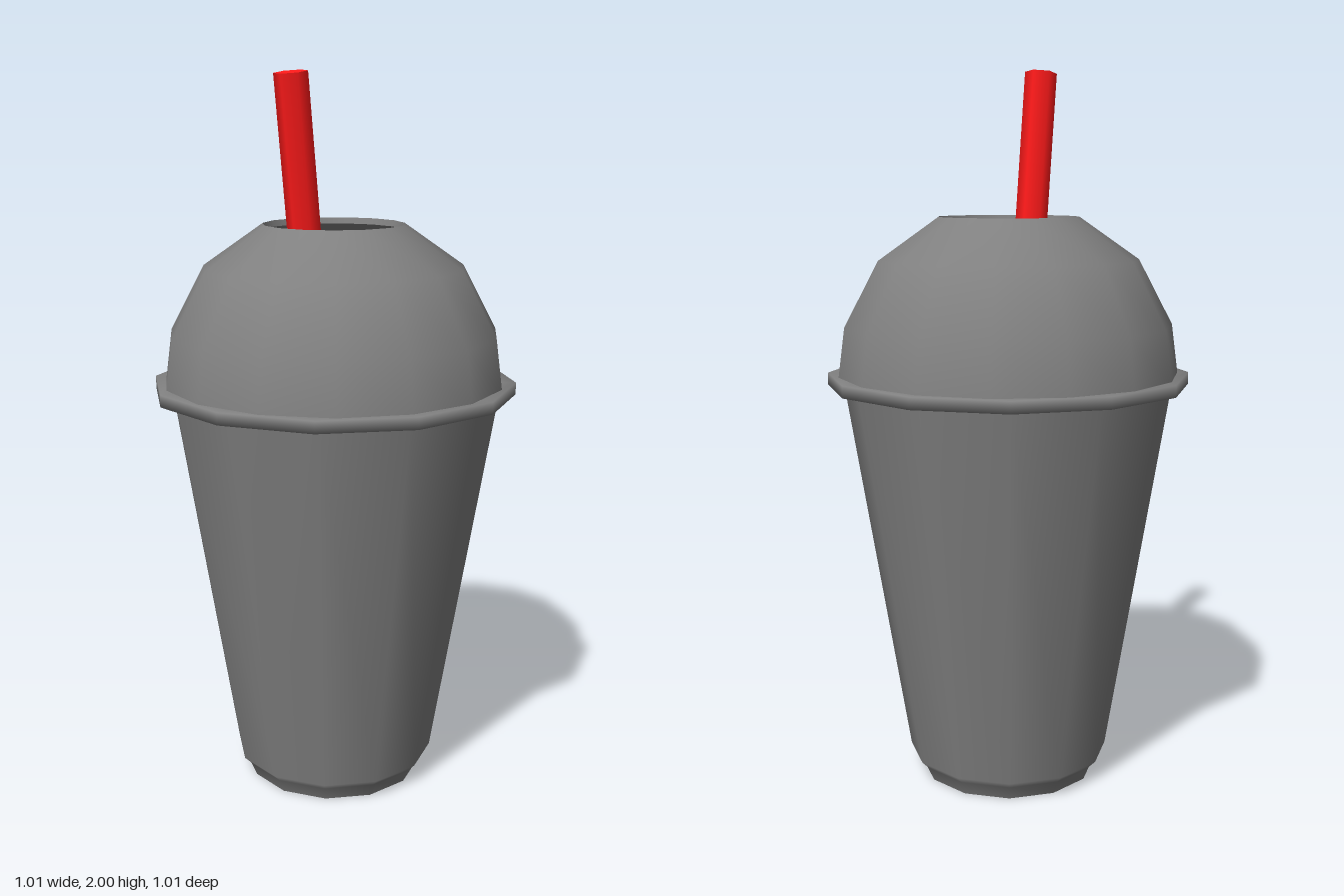
import * as THREE from 'three';

const grey = new THREE.MeshStandardMaterial({ color: 0x808080, side: THREE.DoubleSide });
const red = new THREE.MeshStandardMaterial({ color: 0xff1a1a });

// Revolve an [radius, height] profile, with the first corner on +x
function turned(name, profile, sides) {
  const points = profile.map(([r, y]) => new THREE.Vector2(r, y));
  const mesh = new THREE.Mesh(new THREE.LatheGeometry(points, sides, Math.PI / 2), grey);
  mesh.name = name;
  return mesh;
}

export function createModel() {
  const group = new THREE.Group();
  group.name = 'dome lid cup';

  // Tapered cup wall with a stepped foot
  group.add(turned('cup', [[0.248, 0], [0.265, 0.04], [0.285, 0.06], [0.465, 1.15]], 12));

  // Flat base of the cup
  const base = new THREE.Mesh(new THREE.CircleGeometry(0.248, 12), grey);
  base.name = 'cupBase';
  base.rotation.x = Math.PI / 2;
  group.add(base);

  // Square-edged rim between cup and lid, shaded softly
  group.add(turned('rim', [[0.455, 1.131], [0.507, 1.131], [0.507, 1.164], [0.455, 1.164]], 12));

  // Dome lid
  group.add(turned('domeLid', [[0.478, 1.15], [0.458, 1.3], [0.363, 1.48], [0.196, 1.597]], 15));

  // Thin lip turned in at the drinking hole
  group.add(turned('lidLip', [[0.196, 1.597], [0.191, 1.58]], 15));

  // Leaning six-sided straw reaching down to the base
  const top = new THREE.Vector3(-0.194, 1.994, 0.003);
  const foot = new THREE.Vector3(0.062, 0.06, 0.003);
  const along = top.clone().sub(foot);
  const straw = new THREE.Mesh(
    new THREE.CylinderGeometry(0.045, 0.045, along.length(), 6, 1, false, Math.PI / 2), red);
  straw.name = 'straw';
  straw.position.copy(top).add(foot).multiplyScalar(0.5);
  straw.quaternion.setFromUnitVectors(new THREE.Vector3(0, 1, 0), along.normalize());
  group.add(straw);

  return group;
}
